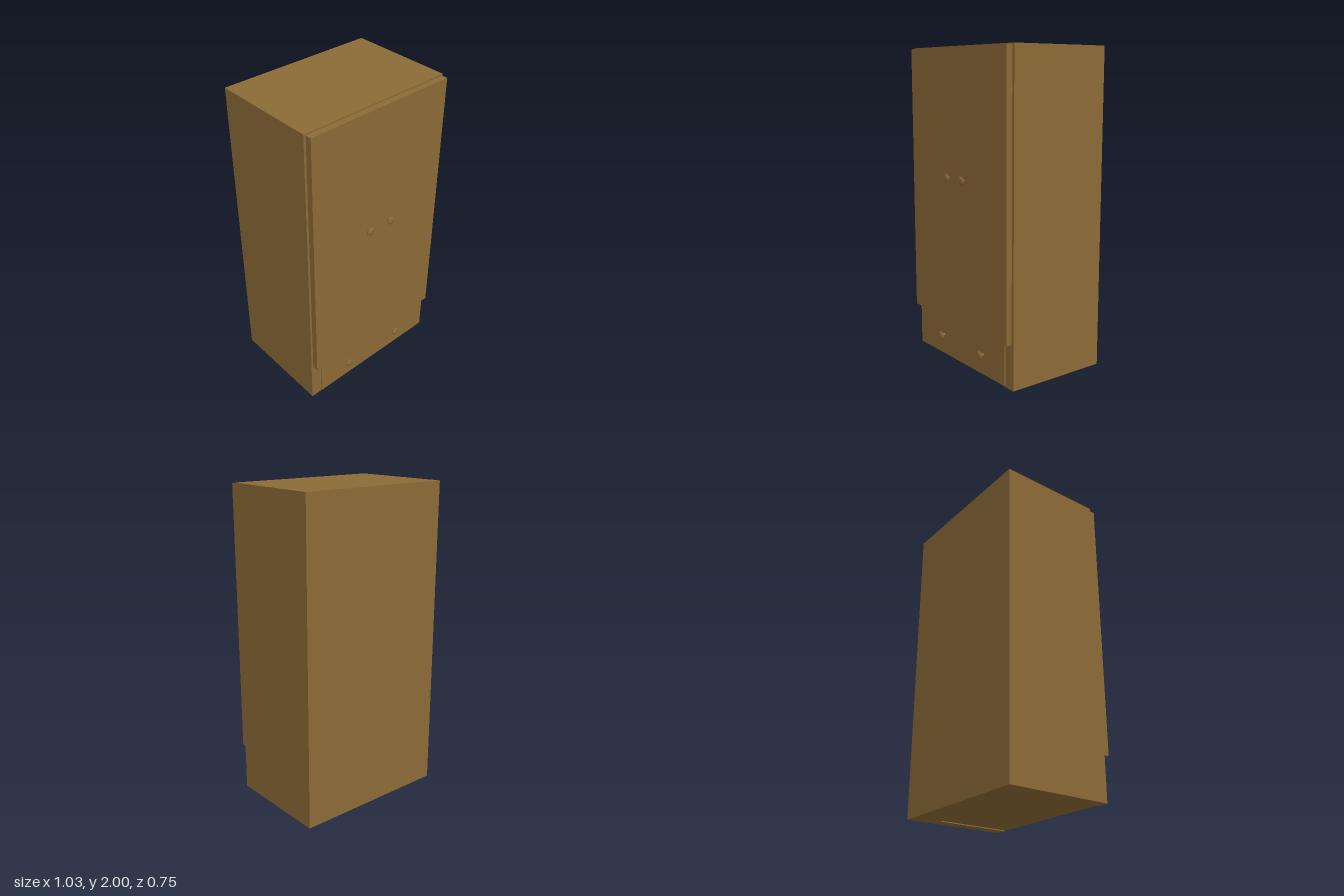
import * as THREE from 'three';

export function createModel() {
  const model = new THREE.Group();
  model.name = 'wardrobe';
  const wood = new THREE.MeshStandardMaterial({ color: 0x8b6a36 });
  wood.name = 'brown wood';

  function add(parent, name, geometry) {
    const mesh = new THREE.Mesh(geometry, wood);
    mesh.name = name;
    parent.add(mesh);
    return mesh;
  }

  // Box given by its lower and upper corners
  function box(parent, name, [x0, y0, z0], [x1, y1, z1]) {
    const g = new THREE.BoxGeometry(x1 - x0, y1 - y0, z1 - z0);
    g.translate((x0 + x1) / 2, (y0 + y1) / 2, (z0 + z1) / 2);
    return add(parent, name, g);
  }

  // Carcass: outline with a drawer bay notched into the bottom and a cupboard opening
  const W = 0.515, bay = 0.438, back = -0.378, front = 0.304, inner = -0.19;
  const outline = new THREE.Shape([
    [-W, 0], [-bay, 0], [-bay, 0.265], [bay, 0.265], [bay, 0], [W, 0], [W, 2], [-W, 2],
  ].map(([x, y]) => new THREE.Vector2(x, y)));
  outline.holes.push(new THREE.Path([
    [-bay, 0.33], [-bay, 1.93], [bay, 1.93], [bay, 0.33],
  ].map(([x, y]) => new THREE.Vector2(x, y))));
  const frame = new THREE.ExtrudeGeometry(outline, { depth: front - inner, bevelEnabled: false });
  frame.translate(0, 0, inner);
  const carcass = new THREE.Group();
  carcass.name = 'carcass';
  model.add(carcass);
  add(carcass, 'carcassFrame', frame);
  box(carcass, 'carcassBack', [-W, 0, back], [W, 2, inner]);

  // Turned knob: thin stem with a flattened round head, pointing forward
  const profile = [
    [0.01, 0], [0.01, 0.012], [0.021, 0.014], [0.027, 0.018],
    [0.026, 0.022], [0.018, 0.026], [0.009, 0.028], [0, 0.0285],
  ].map(([r, y]) => new THREE.Vector2(r, y));
  const knobGeometry = new THREE.LatheGeometry(profile, 24).rotateX(Math.PI / 2);

  function knob(parent, name, x, y, z) {
    add(parent, name, knobGeometry).position.set(x, y, z);
  }

  // Mirrored door leaves and drawer halves, each with its knob
  for (const [side, s] of [['left', 1], ['right', -1]]) {
    const span = (w) => (s > 0 ? [0, w] : [-w, 0]);

    const door = new THREE.Group();
    door.name = side + 'Door';
    const [d0, d1] = span(0.504);
    box(door, side + 'DoorPanel', [d0, 0.285, 0.309], [d1, 1.994, 0.348]);
    knob(door, side + 'DoorKnob', s * 0.082, 1.203, 0.348);

    const drawer = new THREE.Group();
    drawer.name = side + 'Drawer';
    const [w0, w1] = span(0.437);
    box(drawer, side + 'DrawerBox', [w0, 0.006, inner], [w1, 0.261, 0.309]);
    // Longer stem behind the drawer knob head
    const stem = new THREE.CylinderGeometry(0.01, 0.01, 0.01, 24).rotateX(Math.PI / 2);
    add(drawer, side + 'DrawerKnobStem', stem).position.set(s * 0.218, 0.135, 0.312);
    knob(drawer, side + 'DrawerKnob', s * 0.218, 0.135, 0.316);

    model.add(door, drawer);
  }
  return model;
}
